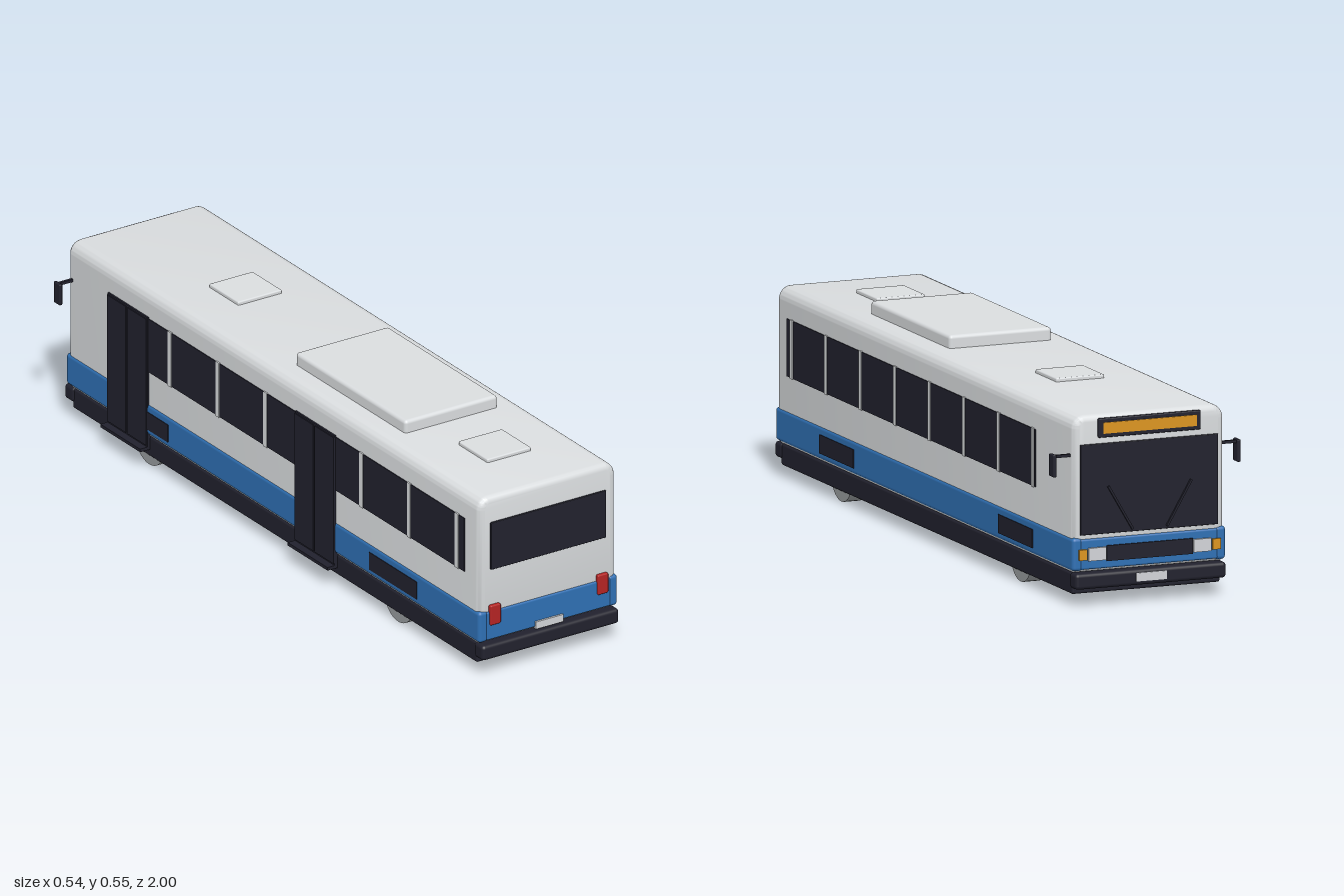
import * as THREE from 'three';
import { toCreasedNormals } from 'three/addons/utils/BufferGeometryUtils.js';
import { RoundedBoxGeometry } from 'three/addons/geometries/RoundedBoxGeometry.js';

const paint = (name, color) => {
  const m = new THREE.MeshStandardMaterial({ color });
  m.name = name;
  return m;
};

export function createModel() {
  const bus = new THREE.Group();
  bus.name = 'bus';
  const white = paint('bodyWhite', 0xdadddf);
  const blue = paint('stripeBlue', 0x2f70b4);
  const dark = paint('darkTrim', 0x21212d);
  const red = paint('tailRed', 0xb42424);
  const amber = paint('amber', 0xdc951f);
  const silver = paint('silver', 0xd2d4d8);
  const grey = paint('wheelGrey', 0x979b9d);

  const add = (name, geo, mat) => {
    const mesh = new THREE.Mesh(geo, mat);
    mesh.name = name;
    bus.add(mesh);
    return mesh;
  };
  // Box given by its limits on each axis; r rounds the edges
  const box = (name, mat, [x0, x1], [y0, y1], [z0, z1], r = 0) => {
    const size = [x1 - x0, y1 - y0, z1 - z0];
    const geo = r ? new RoundedBoxGeometry(...size, 3, r) : new THREE.BoxGeometry(...size);
    const mesh = add(name, geo, mat);
    mesh.position.set((x0 + x1) / 2, (y0 + y1) / 2, (z0 + z1) / 2);
    return mesh;
  };
  // Limits mirrored to side s
  const side = (s, a, b) => (s > 0 ? [a, b] : [-b, -a]);

  // Body shell: cross-section with rounded shoulders, bevelled at both ends
  const w = 0.219, top = 0.515, base = 0.09, r = 0.036, bevel = 0.018;
  const section = new THREE.Shape();
  section.moveTo(-w + 0.006, base);
  section.lineTo(w - 0.006, base);
  section.lineTo(w, base + 0.008);
  section.lineTo(w, top - r);
  section.absarc(w - r, top - r, r, 0, Math.PI / 2);
  section.absarc(-w + r, top - r, r, Math.PI / 2, Math.PI);
  section.lineTo(-w, base + 0.008);
  const depth = 2 * (0.983 - bevel);
  const shell = new THREE.ExtrudeGeometry(section, {
    depth, curveSegments: 8, bevelEnabled: true, bevelSize: bevel,
    bevelThickness: bevel, bevelOffset: -bevel, bevelSegments: 4,
  });
  shell.translate(0, 0, -depth / 2);
  add('body', toCreasedNormals(shell, 0.6), white);

  // Underbody and bumpers
  box('chassis', dark, [-0.215, 0.215], [0.03, 0.088], [-0.965, 0.965], 0.006);
  for (const s of [1, -1]) {
    box('bumper', dark, [-0.219, 0.219], [0.047, 0.09], side(s, 0.955, 1), 0.01);
    box('stripeEnd', blue, [-0.2, 0.2], [0.098, 0.181], side(s, 0.95, 0.987), 0.006);
    box('stripeSide', blue, side(s, 0.192, 0.2225), [0.095, 0.185], [-0.987, 0.987], 0.01);
  }

  // Side windows with pillars, and lower vent panels
  for (const s of [1, -1]) {
    box('sideWindows', dark, side(s, 0.214, 0.2215), [0.28, 0.436], [-0.735, 0.915]);
    for (let i = 0; i < 8; i++) {
      const z = 0.88 - i * 0.2285;
      box('windowPillar', white, side(s, 0.215, 0.2235), [0.278, 0.438], [z - 0.008, z + 0.008]);
    }
    for (const z of [0.578, -0.61]) {
      box('ventPanel', dark, side(s, 0.218, 0.2245), [0.112, 0.163], [z - 0.113, z + 0.113]);
    }
  }

  // Doors on one side: two leaves and a step
  for (const z of [-0.69, 0.205]) {
    box('doorFrame', dark, [-0.224, -0.214], [0.055, 0.44], [z - 0.095, z + 0.095]);
    for (const s of [1, -1]) {
      const [a, b] = side(s, 0.004, 0.093);
      box('doorLeaf', dark, [-0.227, -0.22], [0.065, 0.435], [z + a, z + b]);
    }
    box('doorStep', dark, [-0.247, -0.2], [0.051, 0.06], [z - 0.095, z + 0.095]);
  }

  // Wheels
  for (const s of [1, -1]) {
    for (const z of [0.58, -0.61]) {
      const wheel = add('wheel', new THREE.CylinderGeometry(0.07, 0.07, 0.046, 32), grey);
      wheel.rotation.z = Math.PI / 2;
      wheel.position.set(s * 0.185, 0.07, z);
    }
  }

  // Roof equipment
  box('roofUnit', white, [-0.149, 0.148], [0.505, 0.55], [0, 0.525], 0.01);
  for (const z of [-0.46, 0.73]) {
    box('roofHatch', white, [-0.07, 0.07], [0.505, 0.525], [z - 0.07, z + 0.07], 0.004);
  }

  // Tail end
  box('rearWindow', dark, [-0.184, 0.184], [0.303, 0.441], [0.98, 0.988], 0.002);
  box('rearPlate', silver, [-0.044, 0.044], [0.095, 0.116], [0.984, 0.993]);
  for (const s of [1, -1]) {
    box('tailLight', red, side(s, 0.155, 0.189), [0.142, 0.2], [0.98, 0.993], 0.004);
  }

  // Nose end
  box('windshield', dark, [-0.2, 0.2], [0.192, 0.437], [-0.988, -0.978], 0.002);
  box('signBox', dark, [-0.148, 0.148], [0.453, 0.505], [-0.99, -0.965], 0.003);
  box('signPanel', amber, [-0.135, 0.135], [0.464, 0.494], [-0.993, -0.988]);
  box('grille', dark, [-0.125, 0.125], [0.118, 0.16], [-0.992, -0.983]);
  box('nosePlate', silver, [-0.044, 0.044], [0.058, 0.081], [-1.002, -0.995]);
  for (const s of [1, -1]) {
    box('headlight', silver, side(s, 0.127, 0.178), [0.122, 0.157], [-0.994, -0.983]);
    box('turnSignal', amber, side(s, 0.182, 0.205), [0.125, 0.154], [-0.993, -0.983]);
    const wiper = add('wiper', new THREE.BoxGeometry(0.006, 0.14, 0.006), dark);
    wiper.position.set(s * 0.085, 0.26, -0.991);
    wiper.rotation.z = -s * 0.53;

    // Mirrors
    box('mirrorArm', dark, side(s, 0.21, 0.268), [0.403, 0.411], [-0.965, -0.957]);
    box('mirror', dark, side(s, 0.262, 0.272), [0.352, 0.413], [-0.972, -0.942], 0.003);
  }
  return bus;
}
